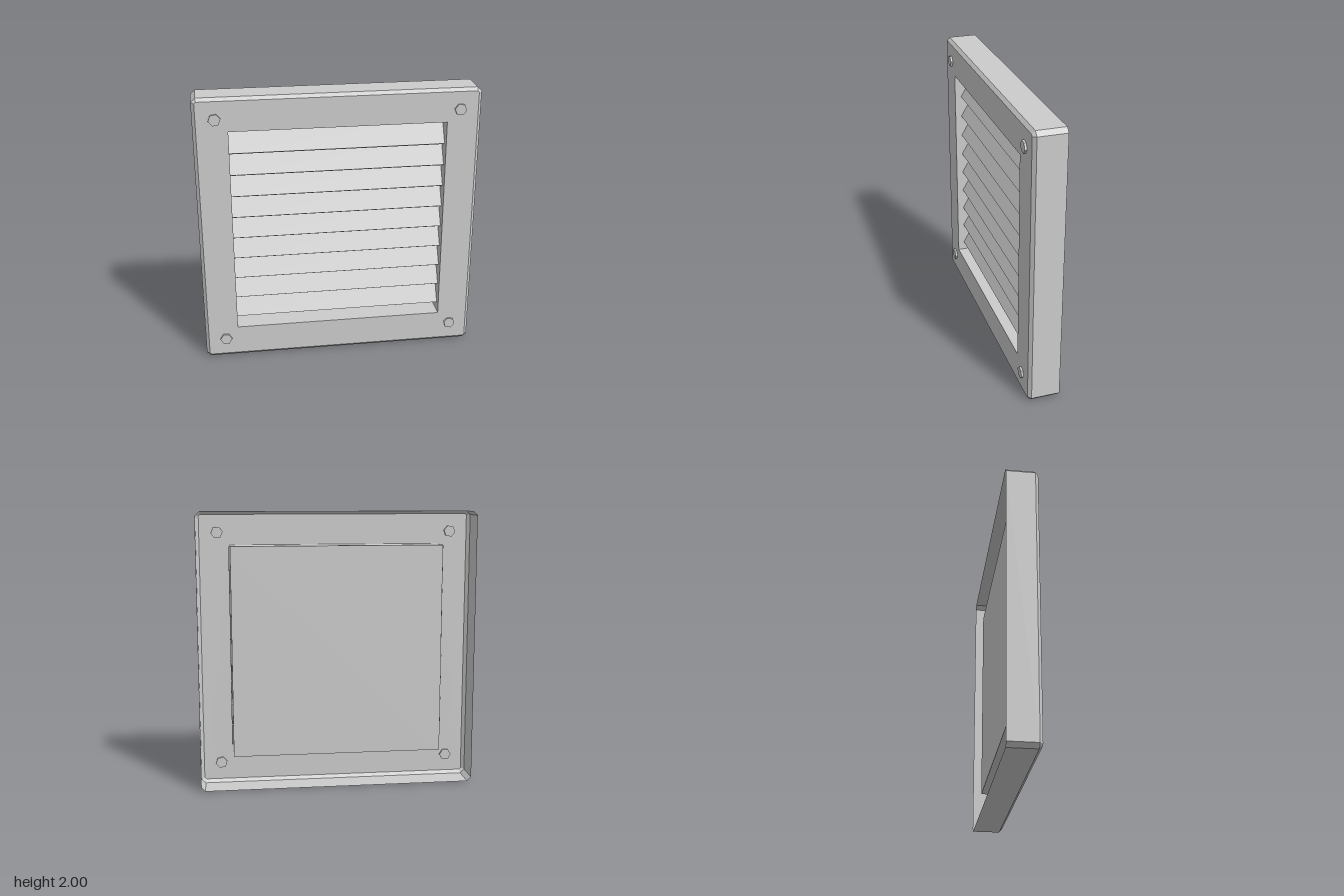
import * as THREE from 'three';

const sheet = new THREE.MeshStandardMaterial({ color: 0xcccccc, flatShading: true, side: THREE.DoubleSide });
const solid = new THREE.MeshStandardMaterial({ color: 0xcccccc, flatShading: true });

const CY = 1; // height of the vent's centre
const FRONT = 0.105, BACK = -0.12, DUCT_BACK = -0.08;
const OPEN = 0.76; // half size of the opening

// Square outline with cut corners, counter-clockwise
function outline(half, cut) {
  const a = half - cut;
  const pts = [[half, -a], [half, a], [a, half], [-a, half], [-half, a], [-half, -a], [-a, -half], [a, -half]];
  return pts.map(([x, y]) => new THREE.Vector2(x, y));
}

// Sheet walls joining rings of equal point count, each ring { pts, z }, back to front
function loft(rings) {
  const pos = [];
  for (let r = 0; r < rings.length - 1; r++) {
    const A = rings[r], B = rings[r + 1], n = A.pts.length;
    for (let i = 0; i < n; i++) {
      const j = (i + 1) % n;
      const a = [A.pts[i].x, A.pts[i].y, A.z], b = [A.pts[j].x, A.pts[j].y, A.z];
      const c = [B.pts[j].x, B.pts[j].y, B.z], d = [B.pts[i].x, B.pts[i].y, B.z];
      pos.push(...a, ...b, ...c, ...a, ...c, ...d);
    }
  }
  const g = new THREE.BufferGeometry();
  g.setAttribute('position', new THREE.Float32BufferAttribute(pos, 3));
  g.computeVertexNormals();
  return g;
}

export function createModel() {
  const model = new THREE.Group();
  model.name = 'louvreVent';
  const add = (name, geometry, material, x = 0, y = 0, z = 0) => {
    const mesh = new THREE.Mesh(geometry, material);
    mesh.name = name;
    mesh.position.set(x, CY + y, z);
    model.add(mesh);
    return mesh;
  };

  // Cover rim, open at the back, with a chamfered front edge
  const rim = outline(1, 0.03), face = outline(0.977, 0.012);
  add('coverRim', loft([{ pts: rim, z: BACK }, { pts: rim, z: 0.083 }, { pts: face, z: FRONT }]), sheet);

  // Front plate with the square opening
  const square = [[OPEN, -OPEN], [OPEN, OPEN], [-OPEN, OPEN], [-OPEN, -OPEN]].map(([x, y]) => new THREE.Vector2(x, y));
  const plate = new THREE.Shape(face);
  plate.holes.push(new THREE.Path(square));
  add('frontPlate', new THREE.ShapeGeometry(plate), sheet, 0, 0, FRONT);

  // Recessed box behind the opening
  add('recessWalls', loft([{ pts: square, z: DUCT_BACK }, { pts: square, z: FRONT }]), sheet);
  add('recessBack', new THREE.PlaneGeometry(2 * OPEN, 2 * OPEN), sheet, 0, 0, DUCT_BACK);

  // Slanted blades, lower edge forward, their ends poking through the walls
  const blade = new THREE.BoxGeometry(2 * OPEN + 0.02, 0.2, 0.02);
  for (let i = 0; i < 9; i++) {
    add('blade', blade, solid, 0, 0.669 - 0.16 * i, 0).rotation.x = -Math.PI / 6;
  }

  // Hexagonal bolt heads in the corners, each turned a little differently
  const bolt = new THREE.CylinderGeometry(0.043, 0.043, 0.03, 6).rotateX(Math.PI / 2);
  for (const [x, y, turn] of [[-0.85, -0.85, 0.52], [-0.85, 0.85, 0.7], [0.85, -0.85, 0.3], [0.85, 0.85, 0.4]]) {
    add('bolt', bolt, solid, x, y, 0.105).rotation.z = turn;
  }
  return model;
}
